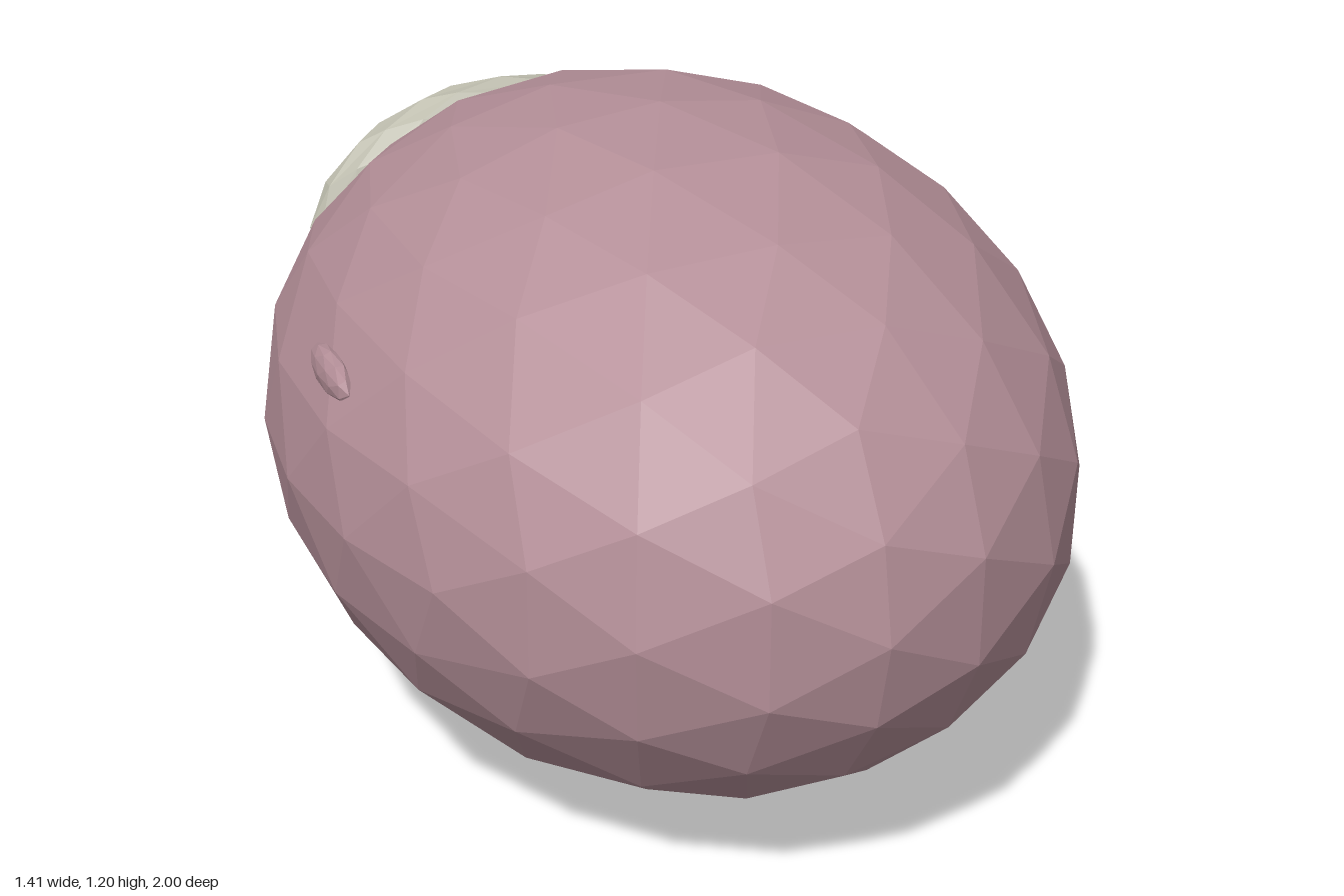
import * as THREE from 'three';

// Unit icosphere made by repeatedly halving every edge
function icosphere(levels) {
  let pts = [];
  const p = new THREE.IcosahedronGeometry(1, 0).attributes.position;
  for (let i = 0; i < p.count; i++) pts.push(new THREE.Vector3().fromBufferAttribute(p, i));
  const mid = (a, b) => a.clone().add(b).normalize();
  for (let l = 0; l < levels; l++) {
    const next = [];
    for (let i = 0; i < pts.length; i += 3) {
      const [a, b, c] = pts.slice(i, i + 3);
      const ab = mid(a, b), bc = mid(b, c), ca = mid(c, a);
      next.push(a, ab, ca, ab, b, bc, ca, bc, c, ab, bc, ca);
    }
    pts = next;
  }
  return pts;
}

// Faceted geometry from the icosphere, each point moved by a rule
function facetedBlob(levels, rule) {
  const geo = new THREE.BufferGeometry().setFromPoints(icosphere(levels).map(rule));
  geo.computeVertexNormals();
  return geo;
}

export function createModel() {
  const group = new THREE.Group();
  const skin = new THREE.MeshStandardMaterial({ color: 0xb48f98, flatShading: true });
  skin.name = 'dusty pink';
  const pale = new THREE.MeshStandardMaterial({ color: 0xbcbbac, flatShading: true });
  pale.name = 'pale grey';
  const add = (name, geo, mat) => {
    const mesh = new THREE.Mesh(geo, mat);
    mesh.name = name;
    group.add(mesh);
    return mesh;
  };

  // Egg-shaped body
  const body = add('body', facetedBlob(2, v => v.clone()), skin);
  body.scale.set(0.703, 0.598, 0.92);
  body.position.set(0, 0.6, 0.08);

  // Crescent pad arched over the stem: a blunt ellipsoid bent round an arc
  const R = 0.42;
  add('crescentPad', facetedBlob(2, v => {
    const phi = v.x * 0.47 / R;
    const blunt = Math.sqrt(1 + v.x * v.x);
    const r = R + 0.14 * v.y * blunt;
    return new THREE.Vector3(
      r * Math.sin(phi),
      0.43 + r * Math.cos(phi),
      -0.755 + 0.025 * v.x * v.x + 0.087 * v.z);
  }), pale);

  // Short round stem at the back
  const stem = add('stem', new THREE.CylinderGeometry(0.069, 0.069, 0.3, 16), skin);
  stem.rotation.x = Math.PI / 2;
  stem.position.set(0, 0.602, -0.85);

  // Small bump on the right flank
  const bump = add('flankBump', facetedBlob(1, v => v.clone()), skin);
  bump.scale.set(0.025, 0.04, 0.1);
  bump.position.set(-0.632, 0.82, 0.15);

  return group;
}
